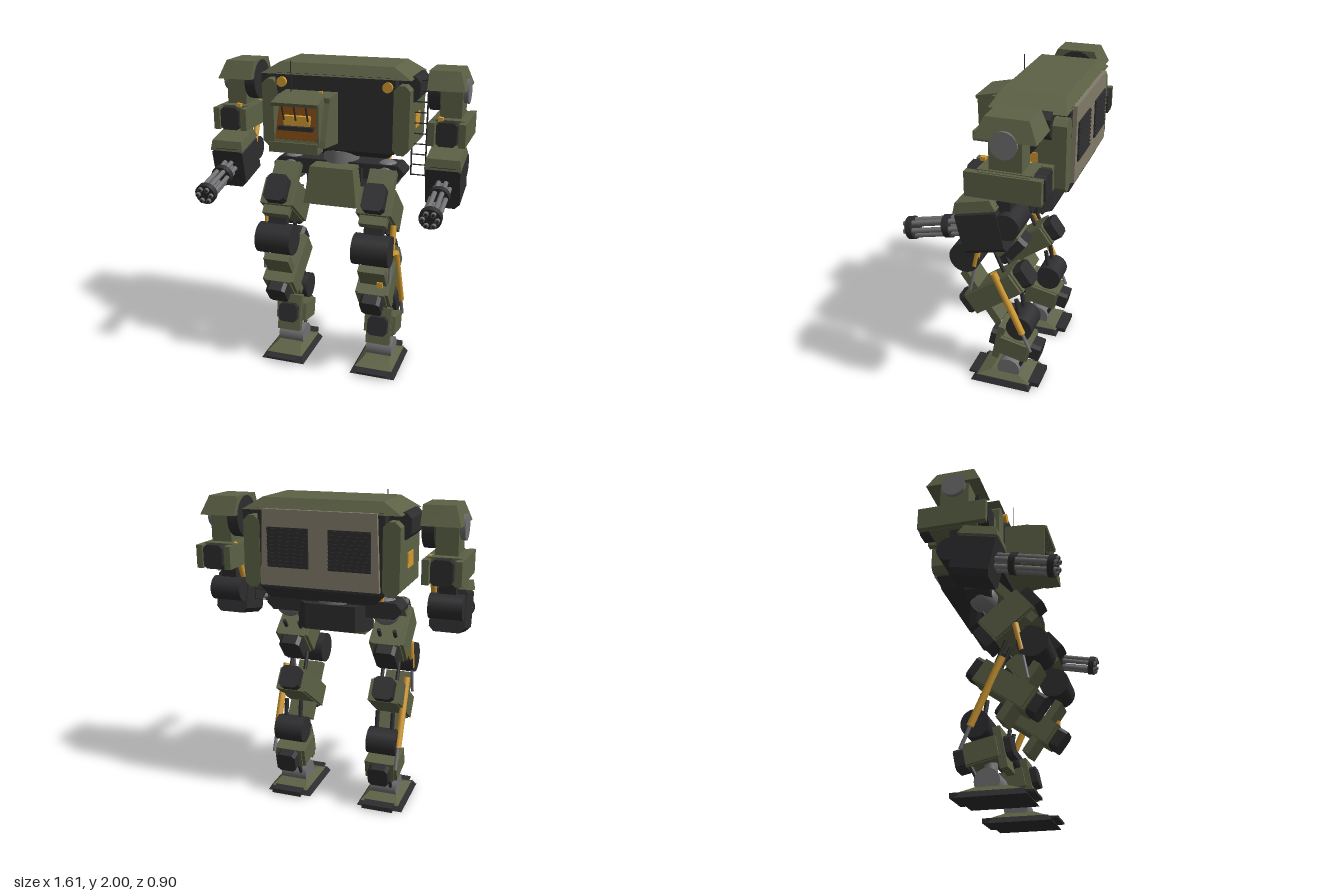
import * as THREE from 'three';

const mat = (name, color) => {
  const m = new THREE.MeshStandardMaterial({ color });
  m.name = name;
  return m;
};
const V = (x, y, z) => new THREE.Vector3(x, y, z);
const box = (w, h, d) => new THREE.BoxGeometry(w, h, d);

// Octagonal prism along z: a w x h outline with corners cut by c
function prism(w, h, d, c) {
  const a = w / 2, b = h / 2;
  const pts = [[-a + c, -b], [a - c, -b], [a, -b + c], [a, b - c], [a - c, b], [-a + c, b], [-a, b - c], [-a, -b + c]];
  const g = new THREE.ExtrudeGeometry(new THREE.Shape(pts.map(p => new THREE.Vector2(...p))), { depth: d, bevelEnabled: false });
  return g.translate(0, 0, -d / 2);
}

// Side profile of [z, y] points, extruded to width w across x
function sideProfile(pts, w) {
  const g = new THREE.ExtrudeGeometry(new THREE.Shape(pts.map(p => new THREE.Vector2(...p))), { depth: w, bevelEnabled: false });
  return g.rotateY(-Math.PI / 2).translate(w / 2, 0, 0);
}

// Tapered box: bottom wb x db, top wt x dt shifted by ox, oz
function frustum(wb, db, wt, dt, h, ox = 0, oz = 0) {
  const g = box(1, h, 1), p = g.attributes.position;
  for (let i = 0; i < p.count; i++) {
    const top = p.getY(i) > 0;
    p.setX(i, p.getX(i) * (top ? wt : wb) + (top ? ox : 0));
    p.setZ(i, p.getZ(i) * (top ? dt : db) + (top ? oz : 0));
  }
  g.computeVertexNormals();
  return g;
}

const cylX = (r, len, r2 = r) => new THREE.CylinderGeometry(r, r2, len, 28).rotateZ(Math.PI / 2);
const cylZ = (r, len, n = 24) => new THREE.CylinderGeometry(r, r, len, n).rotateX(Math.PI / 2);

export function createModel() {
  const green = mat('olive armour', 0x5c6145), dark = mat('charcoal', 0x2d2d2f), grey = mat('steel', 0x717173);
  const amber = mat('amber', 0xd39a30), brown = mat('brown cabin', 0x70400f), tan = mat('tan plate', 0x827b69);
  const model = new THREE.Group();
  model.name = 'walker';

  const group = (name, parent = model) => {
    const g = new THREE.Group();
    g.name = name;
    parent.add(g);
    return g;
  };
  const add = (parent, name, geo, m, x = 0, y = 0, z = 0, rx = 0) => {
    const mesh = new THREE.Mesh(geo, m);
    mesh.name = name;
    mesh.position.set(x, y, z);
    mesh.rotation.x = rx;
    parent.add(mesh);
    return mesh;
  };
  const rod = (parent, name, a, b, r, m) => {
    const d = b.clone().sub(a), c = a.clone().add(b).multiplyScalar(0.5);
    const mesh = add(parent, name, new THREE.CylinderGeometry(r, r, d.length(), 12), m, c.x, c.y, c.z);
    mesh.quaternion.setFromUnitVectors(V(0, 1, 0), d.normalize());
  };
  // Flat beam in the y-z plane
  const beam = (parent, name, x, y1, z1, y2, z2, w, t, m) => add(parent, name, box(w, Math.hypot(y2 - y1, z2 - z1), t), m,
    x, (y1 + y2) / 2, (z1 + z2) / 2, Math.atan2(z2 - z1, y2 - y1));
  // Armour block with charcoal end caps, side plates, tilted about x
  const armourBlock = (parent, name, x, y, z, w, h, len, tilt) => {
    const g = group(name, parent);
    g.position.set(x, y, z);
    g.rotation.x = tilt;
    add(g, 'shell', box(w - 0.04, h, len - 0.13), green);
    for (const s of [-1, 1]) {
      add(g, 'sidePlate', box(0.04, h * 0.94, len - 0.15), green, s * (w / 2 - 0.02));
      add(g, 'endCap', prism(w * 0.62, h * 0.96, 0.08, 0.02), dark, 0, 0, s * (len / 2 - 0.04));
    }
    return g;
  };

  // Torso
  const torso = group('torso');
  add(torso, 'hull', box(0.76, 0.46, 0.43), dark, 0, 1.69, -0.2);
  add(torso, 'hullBottom', frustum(0.64, 0.3, 0.76, 0.43, 0.07, 0, 0.05), dark, 0, 1.435, -0.25);
  add(torso, 'roof', frustum(0.95, 0.44, 0.72, 0.36, 0.07), green, 0, 1.945, -0.2);
  add(torso, 'backPlate', frustum(0.72, 0.025, 0.68, 0.025, 0.44), tan, 0, 1.7, -0.427);
  for (const s of [-1, 1]) {
    add(torso, 'sidePod', prism(0.1, 0.42, 0.44, 0.03), green, s * 0.42, 1.667, -0.2);
    add(torso, 'shoulderMount', prism(0.13, 0.15, 0.27, 0.03), dark, s * 0.445, 1.845, -0.205);
    add(torso, 'sidePanel', box(0.008, 0.09, 0.12), amber, s * 0.472, 1.64, -0.2);
    add(torso, 'headlight', cylZ(0.031, 0.03), amber, s * 0.335, 1.865, 0.02);
    add(torso, 'vent', box(0.25, 0.23, 0.008), dark, s * 0.185, 1.705, -0.442);
    for (let i = 0; i < 10; i++) add(torso, 'ventSlat', box(0.25, 0.009, 0.008), dark, s * 0.185, 1.602 + i * 0.023, -0.448);
    rod(torso, 'waistPiston', V(s * 0.3, 1.47, -0.22), V(s * 0.3, 1.33, -0.17), 0.017, amber);
  }

  // Cockpit, set to the right of the centre
  const cab = group('cockpit');
  cab.position.x = -0.143;
  add(cab, 'cabinBody', sideProfile([[0, 1.5], [0.26, 1.53], [0.25, 1.57], [0.17, 1.78], [0.17, 1.81], [0, 1.82]], 0.334), green);
  add(cab, 'interior', box(0.285, 0.235, 0.008), brown, -0.012, 1.677, 0.214, -0.364);
  add(cab, 'visor', sideProfile([[0.15, 1.785], [0.285, 1.77], [0.29, 1.79], [0.15, 1.82]], 0.29), green, -0.012);
  for (const s of [-1, 1]) add(cab, 'cheek', sideProfile([[0.2, 1.54], [0.27, 1.54], [0.275, 1.775], [0.15, 1.79]], 0.012), green, s * 0.14 - 0.012);
  add(cab, 'sill', box(0.305, 0.03, 0.1), green, -0.012, 1.515, 0.262);
  add(cab, 'sillLip', box(0.305, 0.06, 0.012), green, -0.012, 1.532, 0.306);
  add(cab, 'seat', box(0.165, 0.06, 0.05), amber, -0.017, 1.675, 0.215);
  add(cab, 'console', box(0.22, 0.025, 0.04), dark, -0.017, 1.635, 0.245);
  for (const x of [-0.095, -0.02, 0.055]) rod(cab, 'windowBar', V(x, 1.78, 0.275), V(x, 1.68, 0.24), 0.005, dark);
  add(cab, 'roofLamp', box(0.022, 0.016, 0.022), amber, 0.076, 1.82, 0.065);
  rod(cab, 'antenna', V(-0.117, 1.81, 0.06), V(-0.117, 2, 0.06), 0.003, dark);

  // Ladder on the left side
  const ladder = group('ladder');
  for (const x of [0.457, 0.548]) rod(ladder, 'rail', V(x, 1.3, -0.13), V(x, 1.92, -0.13), 0.005, dark);
  for (let i = 0; i < 10; i++) rod(ladder, 'rung', V(0.457, 1.305 + i * 0.0655, -0.13), V(0.548, 1.305 + i * 0.0655, -0.13), 0.004, dark);

  // Waist and pelvis
  const pelvis = group('pelvis');
  add(pelvis, 'turntable', new THREE.CylinderGeometry(0.115, 0.115, 0.1, 32), grey, 0, 1.39, -0.14);
  add(pelvis, 'pelvisBlock', prism(0.46, 0.22, 0.16, 0.07).rotateX(Math.PI / 2), dark, 0, 1.26, -0.15);
  add(pelvis, 'skirt', frustum(0.345, 0.2, 0.28, 0.14, 0.235), green, 0, 1.242, 0.01);
  add(pelvis, 'hipAxle', prism(0.86, 0.1, 0.16, 0.04), dark, 0, 1.32, -0.13);

  for (const s of [-1, 1]) {
    const side = s > 0 ? 'left' : 'right';

    // Leg
    const leg = group(side + 'Leg'), x = s * 0.313;
    add(leg, 'hipBall', new THREE.SphereGeometry(0.09, 24, 16), grey, x, 1.3, -0.12);
    beam(leg, 'thighStrut', x, 1.34, -0.02, 1.065, 0.225, 0.17, 0.055, green);
    armourBlock(leg, 'thigh', x, 1.113, 0.05, 0.22, 0.18, 0.44, -0.68);
    add(leg, 'knee', cylX(0.097, 0.23), dark, x, 0.907, 0.214);
    beam(leg, 'kneeLink', x, 1.04, 0.18, 0.907, 0.21, 0.12, 0.05, dark);
    beam(leg, 'shinStrut', x, 0.785, 0.235, 0.456, 0.01, 0.17, 0.05, green);
    armourBlock(leg, 'shin', x, 0.668, 0.04, 0.21, 0.15, 0.51, 0.625);
    add(leg, 'hock', cylX(0.085, 0.19), dark, x, 0.44, -0.13);
    beam(leg, 'lowerStrut', x, 0.415, -0.01, 0.17, 0.04, 0.16, 0.045, green);
    armourBlock(leg, 'lowerLeg', x, 0.275, -0.09, 0.21, 0.13, 0.34, -0.21);
    rod(leg, 'ankleRod', V(x, 0.28, -0.06), V(x, 0.1, -0.055), 0.04, grey);
    // Hydraulics on the outer flank
    const px = s * 0.415;
    rod(leg, 'thighPiston', V(px, 1.04, 0.11), V(px, 0.86, 0.15), 0.019, amber);
    rod(leg, 'thighPistonRod', V(px, 0.86, 0.15), V(px, 0.68, 0.185), 0.01, grey);
    rod(leg, 'shinPiston', V(px, 0.83, 0.03), V(px, 0.42, -0.155), 0.022, amber);
    rod(leg, 'shinPistonRod', V(px, 0.42, -0.155), V(px, 0.29, -0.21), 0.011, grey);
    for (const i of [-0.05, 0.05]) {
      rod(leg, 'rearThighDamper', V(x + i, 1.17, -0.11), V(x + i, 1.0, 0.02), 0.012, dark);
      rod(leg, 'kneeDamper', V(x + i, 0.96, 0.04), V(x + i, 0.82, -0.02), 0.012, dark);
      rod(leg, 'hockDamper', V(x + i, 0.63, -0.1), V(x + i, 0.44, -0.13), 0.014, dark);
      rod(leg, 'ankleDamper', V(x + i, 0.22, -0.17), V(x + i, 0.12, -0.12), 0.012, dark);
    }
    // Foot
    add(leg, 'ankle', cylX(0.075, 0.175), grey, x, 0.1, -0.055);
    add(leg, 'footCover', frustum(0.25, 0.36, 0.17, 0.18, 0.035), green, x, 0.053, -0.028);
    add(leg, 'sole', frustum(0.3, 0.4, 0.26, 0.35, 0.036), dark, x, 0.018, -0.015);
    add(leg, 'toe', box(0.2, 0.014, 0.06), dark, x, 0.028, 0.185);
    add(leg, 'heel', box(0.2, 0.03, 0.07), dark, x, 0.028, -0.23);

    // Arm
    const arm = group(side + 'Arm'), ax = s * 0.695;
    add(arm, 'shoulderCap', frustum(0.225, 0.34, 0.185, 0.24, 0.11, -s * 0.02), green, s * 0.673, 1.91, -0.185);
    add(arm, 'shoulderDrum', cylX(0.125, 0.07), dark, s * 0.594, 1.835, -0.19);
    add(arm, 'shoulderBoss', cylX(s > 0 ? 0.075 : 0.05, 0.17, s > 0 ? 0.05 : 0.075).scale(-1, 1, 1).index
      ? cylX(s > 0 ? 0.05 : 0.075, 0.17, s > 0 ? 0.075 : 0.05) : cylX(0.07, 0.17), grey, s * 0.705, 1.835, -0.18);
    add(arm, 'upperArmCore', box(0.13, 0.24, 0.18), green, ax, 1.74, -0.18);
    armourBlock(arm, 'upperArm', ax, 1.61, -0.18, 0.2, 0.15, 0.43, 0);
    for (const i of [-1, 1]) add(arm, 'flankPlate', box(0.04, 0.14, 0.42), green, ax + i * 0.092, 1.607, -0.178);
    add(arm, 'armLamp', box(0.03, 0.025, 0.03), amber, s * 0.65, 1.69, -0.02);
    rod(arm, 'armPiston', V(s * 0.61, 1.68, -0.27), V(s * 0.61, 1.42, -0.15), 0.018, amber);
    add(arm, 'elbow', cylX(0.075, 0.2), dark, ax, 1.375, -0.19);
    beam(arm, 'elbowLink', ax, 1.56, -0.17, 1.37, -0.15, 0.1, 0.08, dark);
    // Forearm with rotary gun, tilted slightly down
    const fore = group('forearm', arm);
    fore.position.set(ax, 1.315, -0.045);
    fore.rotation.x = 0.22;
    add(fore, 'gunHousing', prism(0.21, 0.27, 0.24, 0.03), dark, 0, 0.01);
    add(fore, 'forearmCover', frustum(0.22, 0.25, 0.2, 0.2, 0.06), green, 0, 0.16, 0);
    add(fore, 'gunHub', cylZ(0.035, 0.1), grey, 0, 0.01, 0.15);
    for (let i = 0; i < 6; i++) {
      const a = i * Math.PI / 3;
      add(fore, 'barrel', cylZ(0.015, 0.39, 12), grey, Math.cos(a) * 0.043, 0.01 + Math.sin(a) * 0.043, 0.295);
      add(fore, 'muzzle', cylZ(0.009, 0.004, 12), dark, Math.cos(a) * 0.043, 0.01 + Math.sin(a) * 0.043, 0.491);
    }
    for (const z of [0.225, 0.455]) add(fore, 'barrelClamp', cylZ(0.066, 0.038), dark, 0, 0.01, z);
  }

  // Marker box on the left shin
  add(model, 'shinMarker', box(0.035, 0.035, 0.03), amber, 0.36, 0.675, 0.2);
  return model;
}
